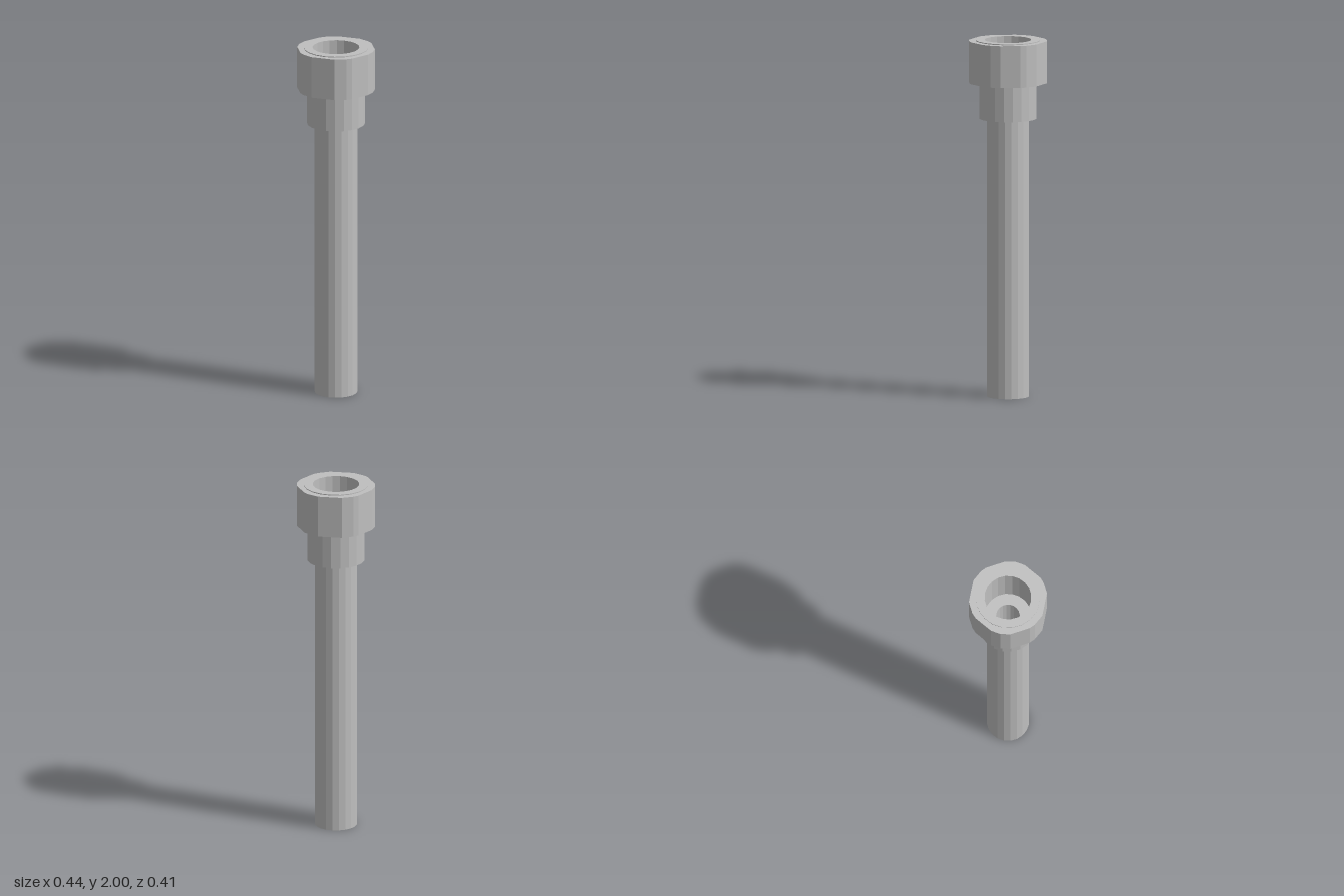
import * as THREE from 'three';

const SIDES = 20;

export function createModel() {
  const group = new THREE.Group();
  const steel = new THREE.MeshStandardMaterial({ color: 0xbfbfbf });
  steel.name = 'steel';

  function add(name, geometry) {
    const flat = geometry.index ? geometry.toNonIndexed() : geometry;
    flat.computeVertexNormals(); // faceted look
    const mesh = new THREE.Mesh(flat, steel);
    mesh.name = name;
    group.add(mesh);
  }
  // Profile of [radius, height] points turned about the y axis
  const turn = (name, profile) =>
    add(name, new THREE.LatheGeometry(profile.map(([r, y]) => new THREE.Vector2(r, y)), SIDES));

  // Long stem with a closed tip, and the stepped collar above it
  turn('stem', [[0, 0], [0.118, 0], [0.118, 1.56]]);
  turn('collar', [[0.118, 1.56], [0.161, 1.56], [0.161, 1.76]]);

  // Hexagonal head with its corners turned off: one quadrant, mirrored
  const quadrant = [[0.218, 0], [0.209, 0.055], [0.153, 0.153], [0.128, 0.176], [0.067, 0.2075]];
  const half = [...quadrant, ...quadrant.slice().reverse().map(([x, z]) => [-x, z])];
  const outline = [...half, ...half.slice(1, -1).reverse().map(([x, z]) => [x, -z])];
  const head = new THREE.Shape(outline.map(([x, z]) => new THREE.Vector2(x, z)));
  const hole = [];
  for (let i = 0; i < SIDES; i++) {
    const a = (-i / SIDES) * Math.PI * 2;
    hole.push(new THREE.Vector2(0.13 * Math.cos(a), 0.13 * Math.sin(a)));
  }
  head.holes.push(new THREE.Path(hole));
  const headGeometry = new THREE.ExtrudeGeometry(head, { depth: 0.235, bevelEnabled: false });
  headGeometry.rotateX(-Math.PI / 2).translate(0, 1.76, 0);
  add('hexHead', headGeometry);

  // Slightly raised rim around the opening
  turn('raisedRim', [[0.179, 1.995], [0.179, 2], [0.13, 2], [0.13, 1.995]]);

  // Wide socket stepping down to the narrow bore
  turn('bore', [[0.13, 1.995], [0.13, 1.7], [0.066, 1.7], [0.066, 0.06], [0, 0.06]]);

  return group;
}
